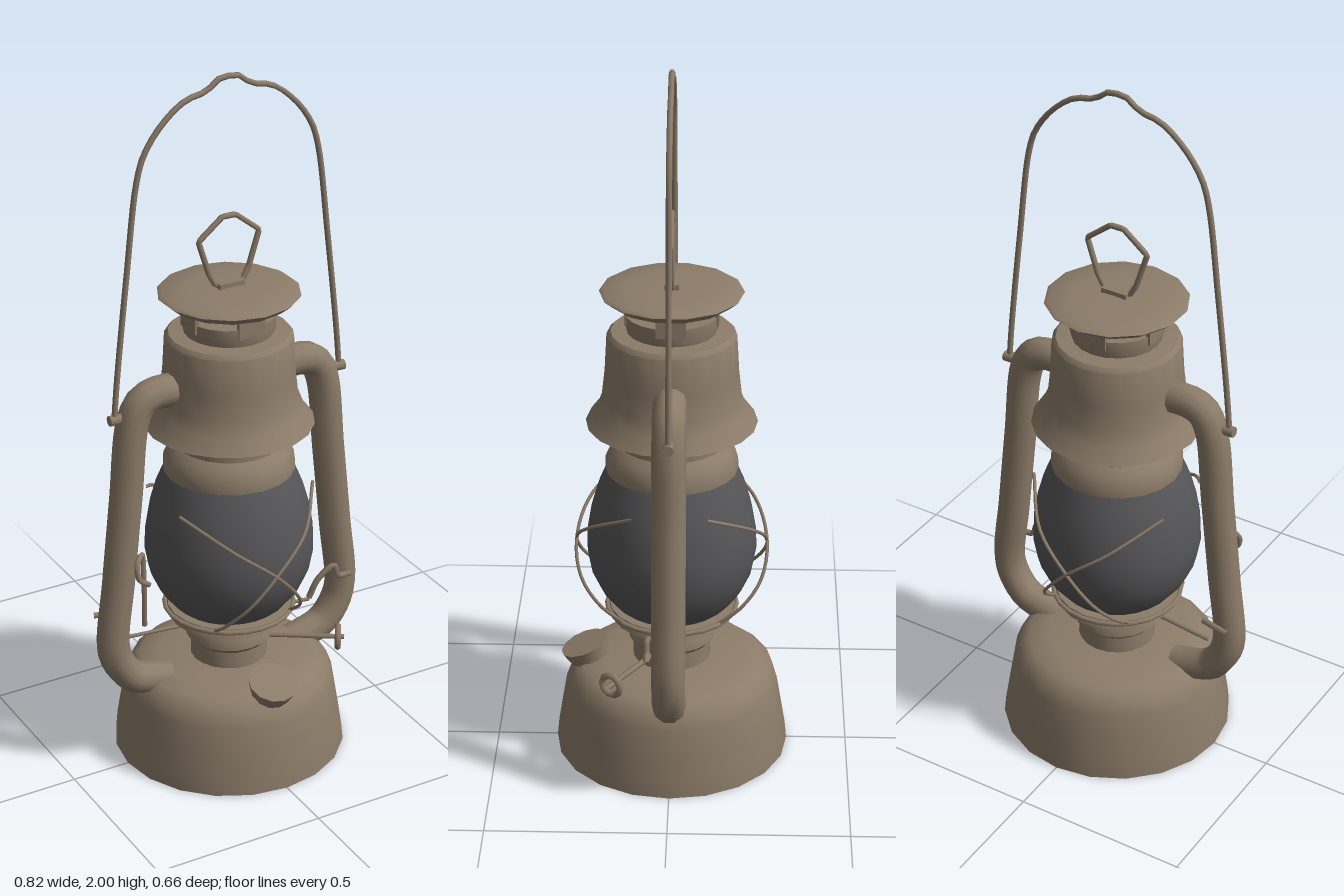
import * as THREE from 'three';
import { toCreasedNormals } from 'three/addons/utils/BufferGeometryUtils.js';

const metal = new THREE.MeshStandardMaterial({ color: 0x8c7c69 });
metal.name = 'weathered metal';
const glass = new THREE.MeshStandardMaterial({ color: 0x565658 });
glass.name = 'smoked glass';

export function createModel() {
  const lantern = new THREE.Group();
  lantern.name = 'lantern';

  const add = (name, geometry, material = metal) => {
    const mesh = new THREE.Mesh(geometry, material);
    mesh.name = name;
    lantern.add(mesh);
    return mesh;
  };
  // Turned part from [radius, height] pairs, listed bottom to top
  const turned = (name, profile, material = metal, sides = 20) => {
    const pts = profile.map(([r, y]) => new THREE.Vector2(r, y));
    return add(name, toCreasedNormals(new THREE.LatheGeometry(pts, sides), 0.7), material);
  };
  // Bent rod through a list of points
  const rod = (name, points, radius, { steps = 24, sides = 6, closed = false, straight = false } = {}) => {
    const v = points.map((p) => new THREE.Vector3(...p));
    let path;
    if (straight) {
      path = new THREE.CurvePath();
      v.forEach((p, i) => {
        if (i || closed) path.add(new THREE.LineCurve3(v[(i + v.length - 1) % v.length], p));
      });
    } else path = new THREE.CatmullRomCurve3(v, closed, 'centripetal');
    return add(name, new THREE.TubeGeometry(path, steps, radius, sides, closed));
  };

  // Fuel tank
  turned('fuelTank', [[0, 0], [0.33, 0], [0.325, 0.05], [0.312, 0.13], [0.3, 0.2], [0.285, 0.24],
    [0.255, 0.265], [0.2, 0.278], [0, 0.285]]);

  // Fuel cap, leaning forward
  const cap = add('fuelCap', toCreasedNormals(new THREE.CylinderGeometry(0.07, 0.055, 0.05, 12), 0.7));
  cap.position.set(0, 0.28, 0.24);
  cap.rotation.x = 0.37;

  // Burner and the gallery the globe sits in
  turned('burner', [[0.11, 0.27], [0.108, 0.33], [0.122, 0.345], [0.118, 0.375], [0.1, 0.405], [0.1, 0.42]]);
  turned('globeGallery', [[0, 0.395], [0.15, 0.4], [0.17, 0.41], [0.165, 0.425], [0.18, 0.435], [0.175, 0.447], [0, 0.447]]);

  // Globe
  turned('globe', [[0.13, 0.43], [0.165, 0.46], [0.2, 0.505], [0.225, 0.56], [0.236, 0.62], [0.234, 0.68],
    [0.222, 0.75], [0.205, 0.81], [0.18, 0.87]], glass, 28);

  // Collar, hood and chimney
  turned('collar', [[0, 0.855], [0.165, 0.855], [0.183, 0.87], [0.182, 0.9], [0.168, 0.93], [0.149, 0.95], [0.145, 1.03]]);
  turned('hood', [[0.14, 1.03], [0.235, 1.01], [0.205, 1.05], [0.19, 1.09], [0.182, 1.16], [0.176, 1.265],
    [0.165, 1.277], [0.12, 1.28]]);
  turned('chimney', [[0.12, 1.27], [0.127, 1.3], [0.127, 1.33], [0.1, 1.33], [0, 1.3]]);

  // Four straps carrying the top cap
  for (let i = 0; i < 4; i++) {
    const a = (i * Math.PI) / 2;
    const strap = add('chimneyStrap', new THREE.BoxGeometry(0.08, 0.08, 0.012));
    strap.position.set(0.12 * Math.sin(a), 1.345, 0.12 * Math.cos(a));
    strap.rotation.y = a;
  }
  turned('topCap', [[0, 1.372], [0.165, 1.366], [0.195, 1.39], [0.185, 1.397], [0.12, 1.4], [0, 1.412]], metal, 14);

  // Lifting ring and its mount
  rod('liftingRing', [[-0.04, 1.415, 0], [-0.06, 1.45, 0], [-0.092, 1.55, 0], [-0.02, 1.607, 0],
    [0.02, 1.607, 0], [0.092, 1.55, 0], [0.06, 1.45, 0], [0.04, 1.415, 0]], 0.008,
  { closed: true, straight: true, steps: 64 });
  const mount = add('ringMount', new THREE.BoxGeometry(0.075, 0.02, 0.04));
  mount.position.set(0, 1.412, 0);

  // Carrying bail
  const half = [[0.35, 1.09], [0.34, 1.2], [0.305, 1.5], [0.272, 1.75], [0.25, 1.82], [0.2, 1.89],
    [0.13, 1.945], [0.065, 1.962], [0.03, 1.988]];
  rod('carryingBail', [...half.map(([x, y]) => [-x, y, 0]), [0, 1.992, 0],
    ...half.slice().reverse().map(([x, y]) => [x, y, 0])], 0.008, { steps: 70 });

  for (const s of [-1, 1]) {
    // Side air tubes
    rod('airTube', [[0.15, 1.14], [0.23, 1.142], [0.27, 1.125], [0.296, 1.07], [0.32, 0.85], [0.347, 0.6], [0.368, 0.4],
      [0.352, 0.34], [0.31, 0.285], [0.25, 0.262], [0.2, 0.25]].map(([x, y]) => [s * x, y, 0]), 0.046, { steps: 44, sides: 10 });
    // Bail pivots
    const pivot = add('bailPivot', new THREE.CylinderGeometry(0.015, 0.015, 0.08, 8));
    pivot.rotation.z = Math.PI / 2;
    pivot.position.set(s * 0.325, 1.092, 0);
    // Crossed guard wires, front and back
    for (const f of [-1, 1]) {
      rod('globeGuardWire', [[-0.21, 0.81, 0.1], [-0.11, 0.73, 0.225], [0, 0.645, 0.265], [0.075, 0.56, 0.25],
        [0.115, 0.49, 0.195], [0.12, 0.44, 0.13]].map(([x, y, z]) => [s * x, y, f * z]), 0.005, { sides: 5 });
    }
  }

  // Wire hoop under the globe
  const hoop = add('guardHoop', new THREE.TorusGeometry(0.182, 0.007, 6, 24));
  hoop.rotation.x = Math.PI / 2;
  hoop.position.y = 0.44;

  // Wick shaft and its knob
  rod('wickShaft', [[0.08, 0.325, 0.04], [0.28, 0.325, 0.17]], 0.008, { steps: 1 });
  const knob = add('wickKnob', new THREE.TorusGeometry(0.03, 0.01, 6, 10));
  knob.position.set(0.265, 0.325, 0.16);
  knob.rotation.y = 1;

  // Globe lift: cross rod, upright wire with loop, and thumb lever
  rod('liftCrossRod', [[-0.32, 0.395, -0.03], [0.24, 0.395, 0.04]], 0.006, { steps: 1 });
  rod('liftUpright', [[-0.295, 0.47, 0.05], [-0.3, 0.6, 0.06], [-0.305, 0.7, 0.06], [-0.335, 0.69, 0.09],
    [-0.335, 0.65, 0.1], [-0.3, 0.62, 0.09]], 0.008);
  rod('liftLever', [[0.24, 0.4, 0.04], [0.265, 0.46, 0.05], [0.31, 0.495, 0.06], [0.325, 0.46, 0.06],
    [0.365, 0.455, 0.06]], 0.009);
  rod('rearCatch', [[-0.31, 0.47, -0.045], [-0.35, 0.47, -0.055], [-0.395, 0.47, -0.065]], 0.009, { steps: 4 });

  return lantern;
}
